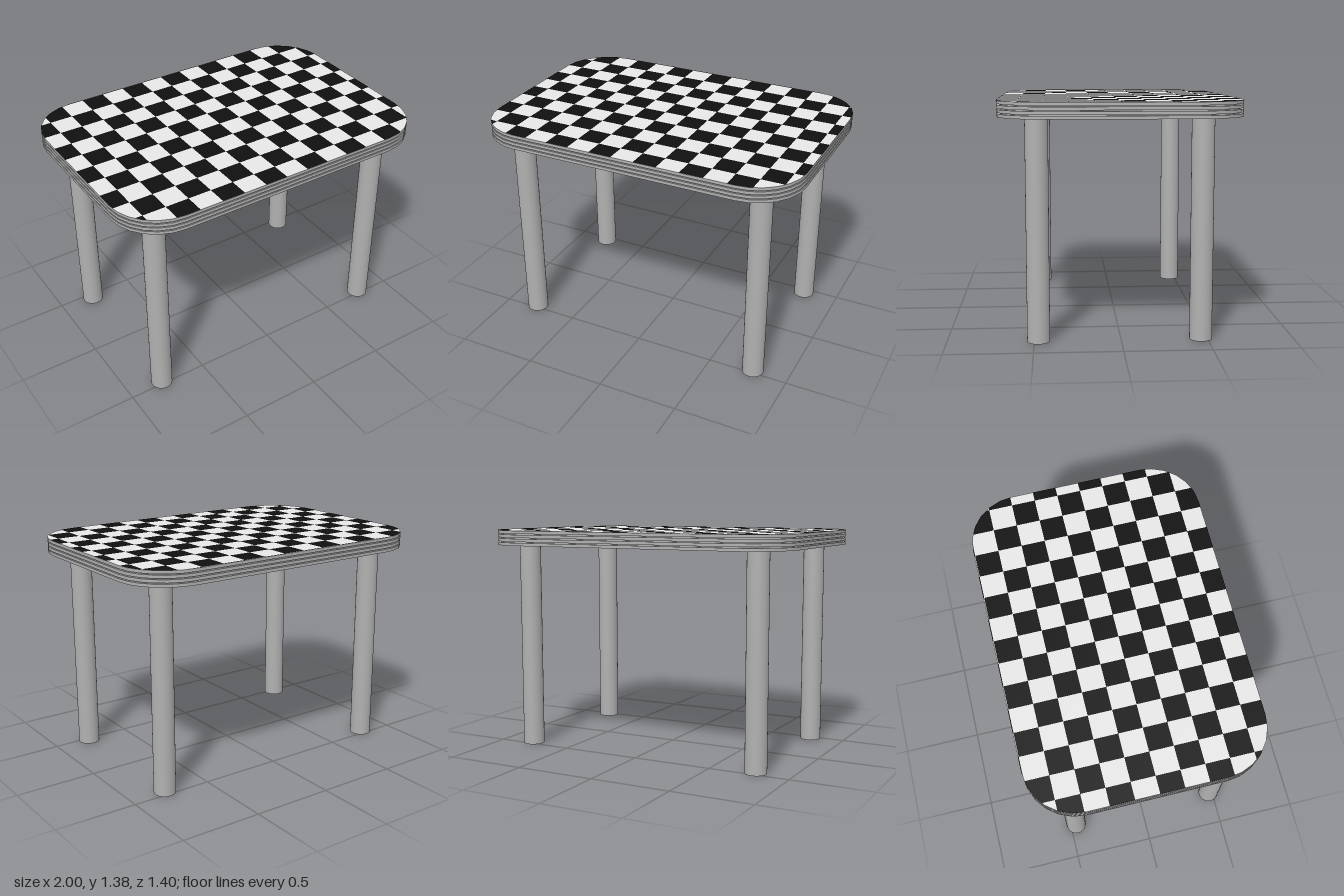
import * as THREE from 'three';
import { mergeGeometries, toCreasedNormals } from 'three/addons/utils/BufferGeometryUtils.js';

const TOP = 1.377, BOTTOM = 1.285, HALF_X = 1, HALF_Z = 0.7, CORNER = 0.3;
const CELL = 0.1414, START_X = -0.896, START_Z = -0.695;

// Rounded rectangle outline in x/z, pulled in by inset
function outline(inset = 0) {
  const r = CORNER - inset, pts = [], steps = 6;
  [[1, 1], [-1, 1], [-1, -1], [1, -1]].forEach(([sx, sz], q) => {
    for (let i = 0; i <= steps; i++) {
      const a = (q + i / steps) * Math.PI / 2;
      pts.push(new THREE.Vector2(
        sx * (HALF_X - CORNER) + r * Math.cos(a),
        sz * (HALF_Z - CORNER) + r * Math.sin(a)));
    }
  });
  return pts;
}

// Keep the part of a convex polygon where sign * p[axis] <= sign * limit
function clip(pts, axis, limit, sign) {
  const out = [];
  pts.forEach((a, i) => {
    const b = pts[(i + 1) % pts.length];
    const da = sign * (limit - a[axis]), db = sign * (limit - b[axis]);
    if (da >= 0) out.push(a);
    if (da * db < 0) out.push(a.clone().lerp(b, da / (da - db)));
  });
  return out;
}

// Checker squares of one parity, cut to the outline; dir 1 faces up, -1 down
function checkerGeometry(parity, dir, y) {
  const cells = [];
  for (let i = -1; i <= 13; i++) {
    for (let j = -1; j <= 9; j++) {
      if (Math.abs(i + j) % 2 !== parity) continue;
      const x = START_X + i * CELL, z = START_Z + j * CELL;
      let p = clip(outline(), 'x', x, -1);
      p = clip(p, 'x', x + CELL, 1);
      p = clip(p, 'y', z, -1);
      p = clip(p, 'y', z + CELL, 1);
      if (p.length < 3) continue;
      const shape = new THREE.Shape(p.map(v => new THREE.Vector2(v.x, -dir * v.y)));
      cells.push(new THREE.ShapeGeometry(shape).rotateX(-dir * Math.PI / 2));
    }
  }
  return mergeGeometries(cells).translate(0, y, 0);
}

export function createModel() {
  const group = new THREE.Group();
  const mat = (name, color) => {
    const m = new THREE.MeshStandardMaterial({ color });
    m.name = name;
    return m;
  };
  const grey = mat('grey', 0xb0b0b0);
  const white = mat('white', 0xf2f2f2);
  const black = mat('black', 0x101010);
  grey.side = THREE.DoubleSide;

  const add = (name, geometry, material, parent = group) => {
    const mesh = new THREE.Mesh(geometry, material);
    mesh.name = name;
    parent.add(mesh);
    return mesh;
  };

  // Tabletop: four bands with three shallow grooves between them
  const rim = new THREE.Group();
  rim.name = 'tabletopRim';
  group.add(rim);
  const groove = 0.006, band = (TOP - BOTTOM - 3 * groove) / 4;
  let y = TOP;
  for (let i = 0; i < 7; i++) {
    const isGroove = i % 2 === 1, depth = isGroove ? groove : band;
    const geo = new THREE.ExtrudeGeometry(new THREE.Shape(outline(isGroove ? 0.02 : 0)),
      { depth, bevelEnabled: false });
    geo.rotateX(Math.PI / 2).translate(0, y, 0);
    add(isGroove ? 'rimGroove' : 'rimBand', toCreasedNormals(geo, 0.6), grey, rim);
    y -= depth;
  }

  // Checker faces above and below
  [[1, TOP + 0.001, 'top'], [-1, BOTTOM - 0.001, 'underside']].forEach(([dir, h, name]) => {
    add(name + 'BlackSquares', checkerGeometry(0, dir, h), black);
    add(name + 'WhiteSquares', checkerGeometry(1, dir, h), white);
  });

  // Legs: open tubes
  const legGeo = new THREE.CylinderGeometry(0.0655, 0.0655, BOTTOM, 32, 1, true);
  for (const [x, side] of [[0.777, 'Left'], [-0.782, 'Right']]) {
    for (const [z, end] of [[0.475, 'front'], [-0.462, 'back']]) {
      add(end + side + 'Leg', legGeo, grey).position.set(x, BOTTOM / 2, z);
    }
  }
  return group;
}
